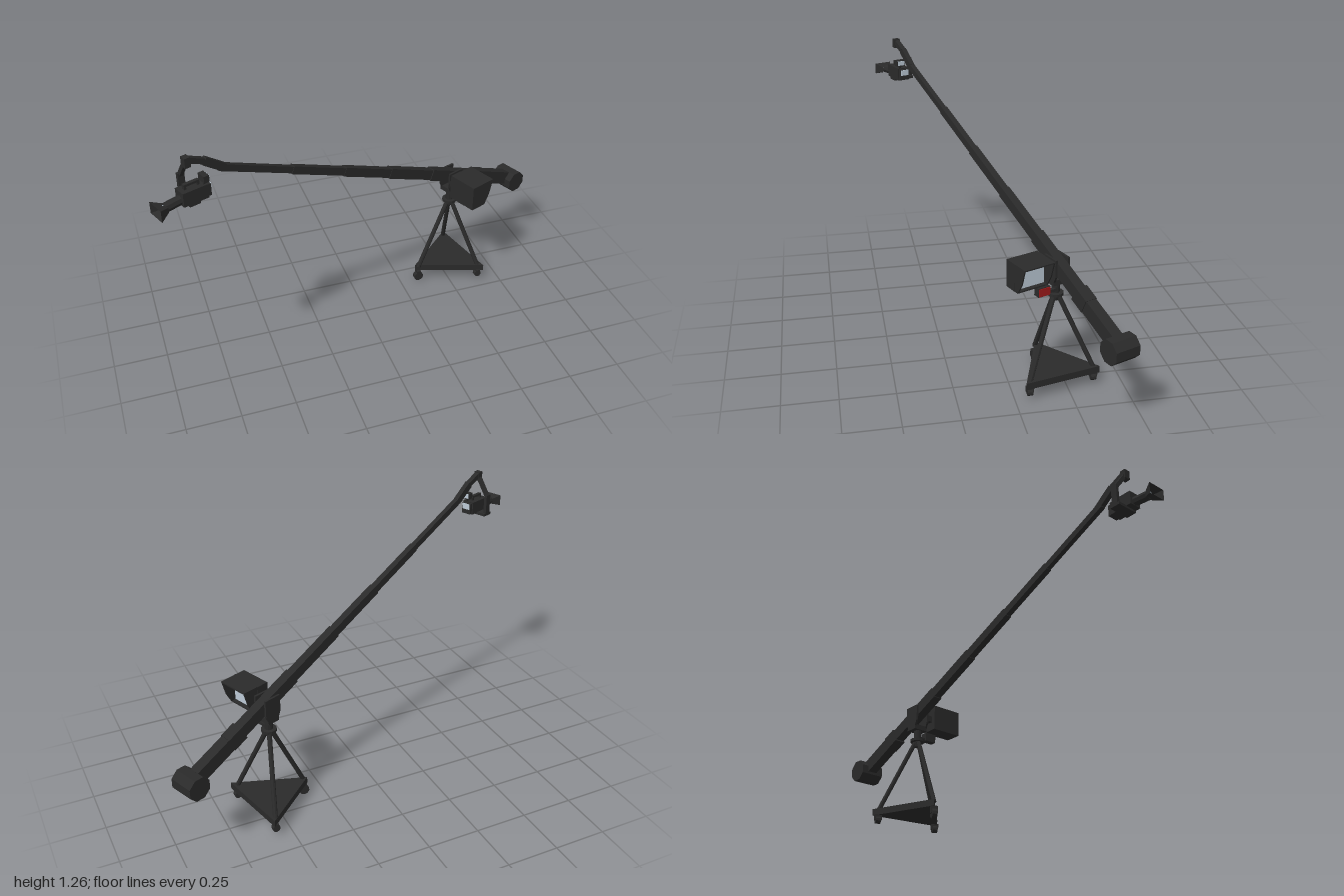
import * as THREE from 'three';

export function createModel() {
  const root = new THREE.Group();
  root.name = 'cameraCrane';
  const mat = (name, color, side = THREE.FrontSide) => {
    const m = new THREE.MeshStandardMaterial({ color, side, flatShading: true });
    m.name = name;
    return m;
  };
  const dark = mat('charcoal', 0x2a2a2a, THREE.DoubleSide);
  const glass = mat('paleScreen', 0xbccad6);
  const red = mat('red', 0xa01a1a);

  // Everything on the arm lives in a frame whose x axis runs along the boom
  const crane = new THREE.Group();
  crane.name = 'crane';
  crane.rotation.y = 0.37;
  root.add(crane);

  const add = (parent, name, geo, m = dark, x = 0, y = 0, z = 0) => {
    const mesh = new THREE.Mesh(geo, m);
    mesh.name = name;
    mesh.position.set(x, y, z);
    parent.add(mesh);
    return mesh;
  };
  // Box given by its limits on each axis
  const block = (parent, name, [x0, x1], [y0, y1], [z0, z1], m = dark) =>
    add(parent, name, new THREE.BoxGeometry(x1 - x0, y1 - y0, z1 - z0), m,
      (x0 + x1) / 2, (y0 + y1) / 2, (z0 + z1) / 2);
  // Flat plate cut from an outline, extruded along z
  const plate = (parent, name, points, depth, z) =>
    add(parent, name, new THREE.ExtrudeGeometry(
      new THREE.Shape(points.map((p) => new THREE.Vector2(...p))), { depth, bevelEnabled: false }), dark, 0, 0, z);
  // Square or round bar between two points, turned within its parent's frame
  const up = new THREE.Vector3(0, 1, 0);
  const bar = (parent, name, a, b, w, h, round = false) => {
    const A = new THREE.Vector3(...a), B = new THREE.Vector3(...b);
    const len = A.distanceTo(B);
    const geo = round
      ? new THREE.CylinderGeometry(w, h, len, 8).rotateX(Math.PI / 2)
      : new THREE.BoxGeometry(w, h, len);
    const mesh = add(parent, name, geo);
    mesh.position.copy(A).add(B).multiplyScalar(0.5);
    mesh.quaternion.setFromRotationMatrix(new THREE.Matrix4().lookAt(A, B, up));
  };

  // Telescoping boom: start, end, height, width
  const armY = (u) => 1.16 - 0.437 * (u + 0.751);
  [
    [-0.76, -0.40, 0.030, 0.024],
    [-0.41, -0.12, 0.036, 0.029],
    [-0.13, 0.15, 0.043, 0.034],
    [0.14, 0.42, 0.050, 0.039],
    [0.408, 0.74, 0.058, 0.046],
    [0.72, 0.79, 0.070, 0.056],
    [0.78, 0.98, 0.066, 0.050],
  ].forEach(([a, b, h, w]) =>
    bar(crane, 'boomSection', [a, armY(a), 0], [b, armY(b), 0], w, h));

  // Octagonal counterweight
  add(crane, 'counterweight',
    new THREE.CylinderGeometry(0.056, 0.056, 0.12, 8).rotateY(Math.PI / 8).rotateX(Math.PI / 2),
    dark, 1.0, 0.39, 0);

  // Bent nose and the drop arm carrying the remote head
  const nose = [[-0.735, 1.153, 0], [-0.825, 1.218, 0], [-0.9, 1.252, 0]];
  bar(crane, 'noseLower', nose[0], nose[1], 0.024, 0.034);
  bar(crane, 'noseUpper', nose[1], nose[2], 0.024, 0.024);
  block(crane, 'noseJoint', [-0.913, -0.887], [1.22, 1.264], [-0.015, 0.015]);
  bar(crane, 'dropArm', [-0.9, 1.245, 0], [-0.895, 1.15, -0.067], 0.018, 0.018);
  block(crane, 'headSide', [-0.91, -0.88], [1.055, 1.16], [-0.075, -0.06]);
  block(crane, 'headBase', [-0.92, -0.87], [1.053, 1.066], [-0.075, 0.03]);

  // Camera, pointing away from the counterweight
  const camera = new THREE.Group();
  camera.name = 'camera';
  crane.add(camera);
  block(camera, 'cameraBody', [-0.945, -0.83], [1.063, 1.125], [-0.03, 0.03]);
  block(camera, 'cameraBack', [-0.83, -0.815], [1.066, 1.12], [-0.025, 0.025]);
  block(camera, 'backScreen', [-0.815, -0.811], [1.09, 1.118], [-0.02, 0.02], glass);
  block(camera, 'handle', [-0.925, -0.855], [1.137, 1.147], [-0.008, 0.008]);
  for (const u of [-0.92, -0.86])
    block(camera, 'handlePost', [u - 0.005, u + 0.005], [1.12, 1.14], [-0.008, 0.008]);
  bar(camera, 'finderPost', [-0.84, 1.12, 0.015], [-0.835, 1.15, 0.015], 0.01, 0.01);
  block(camera, 'viewfinder', [-0.85, -0.825], [1.138, 1.168], [-0.008, 0.036]);
  block(camera, 'viewfinderScreen', [-0.825, -0.821], [1.142, 1.164], [-0.004, 0.032], glass);
  bar(camera, 'lens', [-1.02, 1.08, 0.005], [-0.94, 1.085, 0], 0.021, 0.021, true);
  add(camera, 'lensGlass', new THREE.CylinderGeometry(0.016, 0.016, 0.004, 8).rotateZ(Math.PI / 2),
    glass, -1.022, 1.08, 0.005);
  // Flared lens hood, open at the front
  const hood = add(camera, 'lensHood',
    new THREE.CylinderGeometry(0.062, 0.028, 0.045, 4, 1, true).rotateY(Math.PI / 4).rotateZ(Math.PI / 2),
    dark, -1.034, 1.079, 0.007);
  hood.scale.y = 0.6;

  // Yoke joining the boom to the post
  for (const s of [-1, 1])
    plate(crane, 'yokePlate',
      [[0.535, 0.5], [0.585, 0.5], [0.602, 0.54], [0.602, 0.62], [0.518, 0.62], [0.518, 0.54]],
      0.01, s * 0.032 - 0.005);
  block(crane, 'yokeBase', [0.53, 0.59], [0.495, 0.52], [-0.037, 0.037]);

  // Operator's monitor with a sloping sun hood
  const monitor = new THREE.Group();
  monitor.name = 'monitor';
  crane.add(monitor);
  block(monitor, 'monitorBody', [0.5, 0.56], [0.508, 0.634], [0.062, 0.217]);
  block(monitor, 'monitorScreen', [0.56, 0.565], [0.514, 0.628], [0.07, 0.21], glass);
  block(monitor, 'hoodTop', [0.56, 0.635], [0.628, 0.634], [0.064, 0.216]);
  block(monitor, 'hoodBottom', [0.56, 0.585], [0.508, 0.514], [0.064, 0.216]);
  for (const z of [0.064, 0.21])
    plate(monitor, 'hoodSide', [[0.56, 0.508], [0.585, 0.508], [0.614, 0.56], [0.635, 0.634], [0.56, 0.634]], 0.006, z);
  block(monitor, 'monitorMount', [0.52, 0.55], [0.55, 0.58], [0.03, 0.07]);

  // Control box with a red face
  block(crane, 'controlBox', [0.552, 0.585], [0.458, 0.5], [0.05, 0.109]);
  block(crane, 'controlFace', [0.585, 0.589], [0.461, 0.497], [0.052, 0.107], red);
  block(crane, 'controlBracket', [0.56, 0.575], [0.458, 0.472], [0, 0.052]);

  // Post and collar
  const px = 0.52, pz = -0.2;
  add(root, 'post', new THREE.CylinderGeometry(0.019, 0.019, 0.08, 12), dark, px, 0.47, pz);
  add(root, 'postCollar', new THREE.CylinderGeometry(0.036, 0.036, 0.013, 12), dark, px, 0.442, pz);
  add(root, 'postFoot', new THREE.CylinderGeometry(0.02, 0.014, 0.03, 12), dark, px, 0.425, pz);

  // Triangular deck
  const deck = plate(root, 'deck', [[0.328, 0.16], [0.666, 0.045], [0.585, 0.395]], 0.032, 0);
  deck.rotation.x = -Math.PI / 2;
  deck.position.y = 0.058;

  // Legs and casters; x, z, wheel radius, wheel centre height
  [[0.345, -0.155, 0.024, 0.024], [0.572, -0.37, 0.018, 0.034], [0.642, -0.066, 0.018, 0.034]]
    .forEach(([x, z, r, y]) => {
      bar(root, 'leg', [x, 0.08, z], [px + (x - px) * 0.06, 0.435, pz + (z - pz) * 0.06], 0.011, 0.011, true);
      add(root, 'casterWheel', new THREE.CylinderGeometry(r, r, 0.024, 10).rotateX(Math.PI / 2), dark, x, y, z);
      block(root, 'casterFork', [x - 0.01, x + 0.01], [y, 0.06], [z - 0.017, z + 0.017]);
    });

  return root;
}
